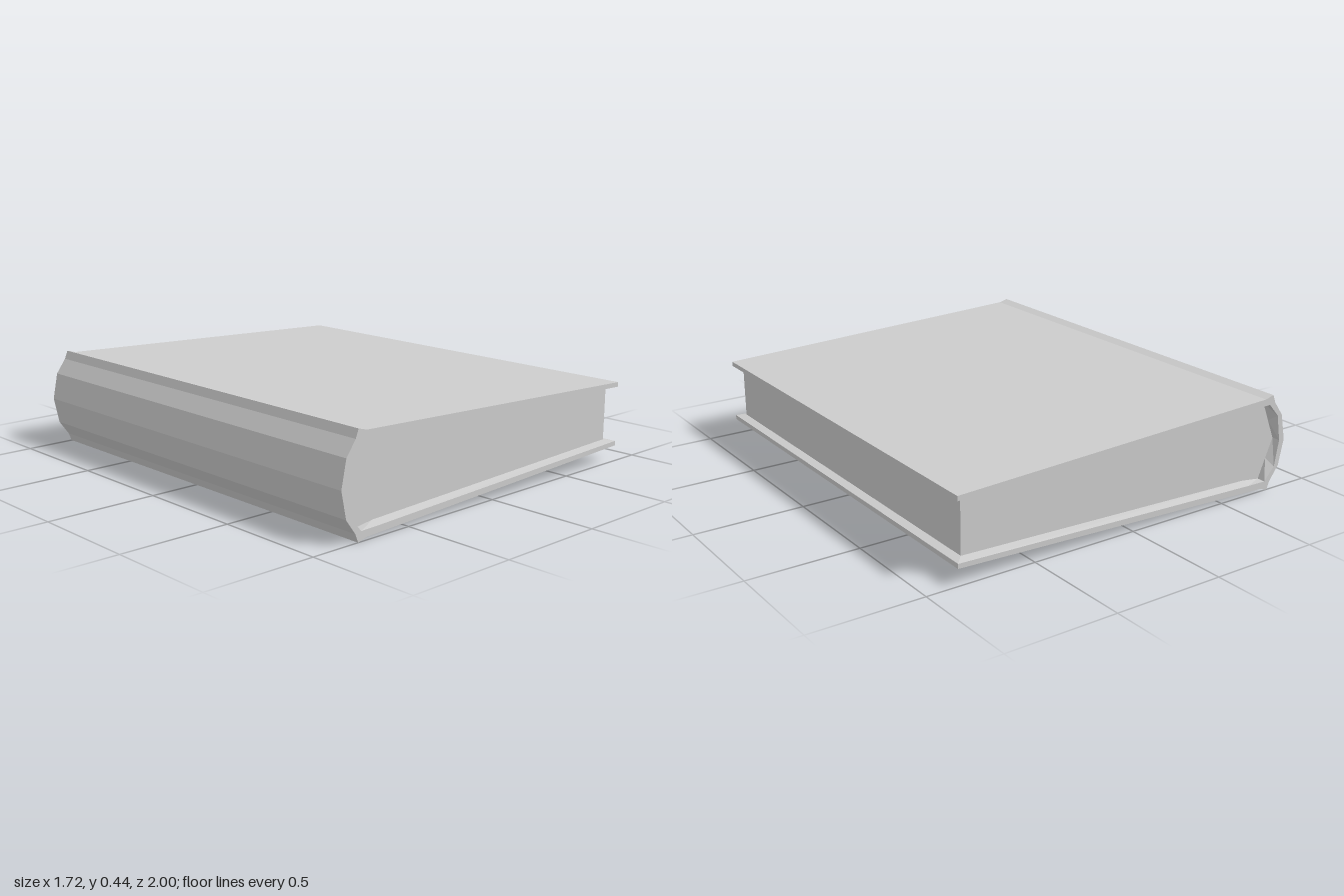
import * as THREE from 'three';

const MID = 0.221; // mirror height of the closed book
const HALF = 1; // half length of the cover
const PAGE_HALF = 0.96; // half length of the page block

// Mirrors an upper profile (ending on the mid height) to the lower half.
function mirrored(upper) {
  const lower = upper.slice(0, -1).reverse().map(([x, y]) => [x, 2 * MID - y]);
  return [...upper, ...lower];
}

// Extrudes a closed outline evenly to both sides of z = 0.
function extrude(points, half) {
  const shape = new THREE.Shape(points.map(([x, y]) => new THREE.Vector2(x, y)));
  const geometry = new THREE.ExtrudeGeometry(shape, { depth: 2 * half, bevelEnabled: false });
  geometry.translate(0, 0, -half);
  return geometry;
}

// Runs a profile along the front, then back along the rear, as one closed ring.
function ring(points, half) {
  return [
    ...points.map(([x, y]) => [x, y, half]),
    ...points.slice().reverse().map(([x, y]) => [x, y, -half]),
  ];
}

// Flat-shaded band of quads between two closed rings.
function band(outer, inner) {
  const positions = [];
  outer.forEach((a, i) => {
    const j = (i + 1) % outer.length;
    for (const p of [a, outer[j], inner[j], a, inner[j], inner[i]]) positions.push(...p);
  });
  const geometry = new THREE.BufferGeometry();
  geometry.setAttribute('position', new THREE.Float32BufferAttribute(positions, 3));
  geometry.computeVertexNormals();
  return geometry;
}

export function createModel() {
  const book = new THREE.Group();
  book.name = 'book';

  const grey = new THREE.MeshStandardMaterial({ color: 0xcccccc });
  grey.name = 'grey';

  // Profiles from the open edge, over the top, to the middle of the spine
  const outside = mirrored([
    [0.858, 0.369], [-0.73, 0.43], [-0.773, 0.442], [-0.788, 0.405], [-0.835, 0.34], [-0.86, MID],
  ]);
  const inside = mirrored([
    [0.858, 0.348], [-0.66, 0.398], [-0.757, 0.4], [-0.81, 0.34], [-0.831, MID],
  ]);
  const block = mirrored([
    [0.82, 0.341], [-0.66, 0.387], [-0.757, 0.4], [-0.794, 0.31], [-0.831, MID],
  ]);

  function add(name, geometry) {
    const mesh = new THREE.Mesh(geometry, grey);
    mesh.name = name;
    book.add(mesh);
  }

  // Boards and rounded spine in one wrapped piece
  add('cover', extrude([...outside, ...inside.slice().reverse()], HALF));
  // Page block, set back from the cover edges
  add('pages', extrude(block, PAGE_HALF));
  // Sloping rim between the cover edges and the page block
  add('innerRim', band(ring(inside, HALF), ring(block, PAGE_HALF)));

  return book;
}
